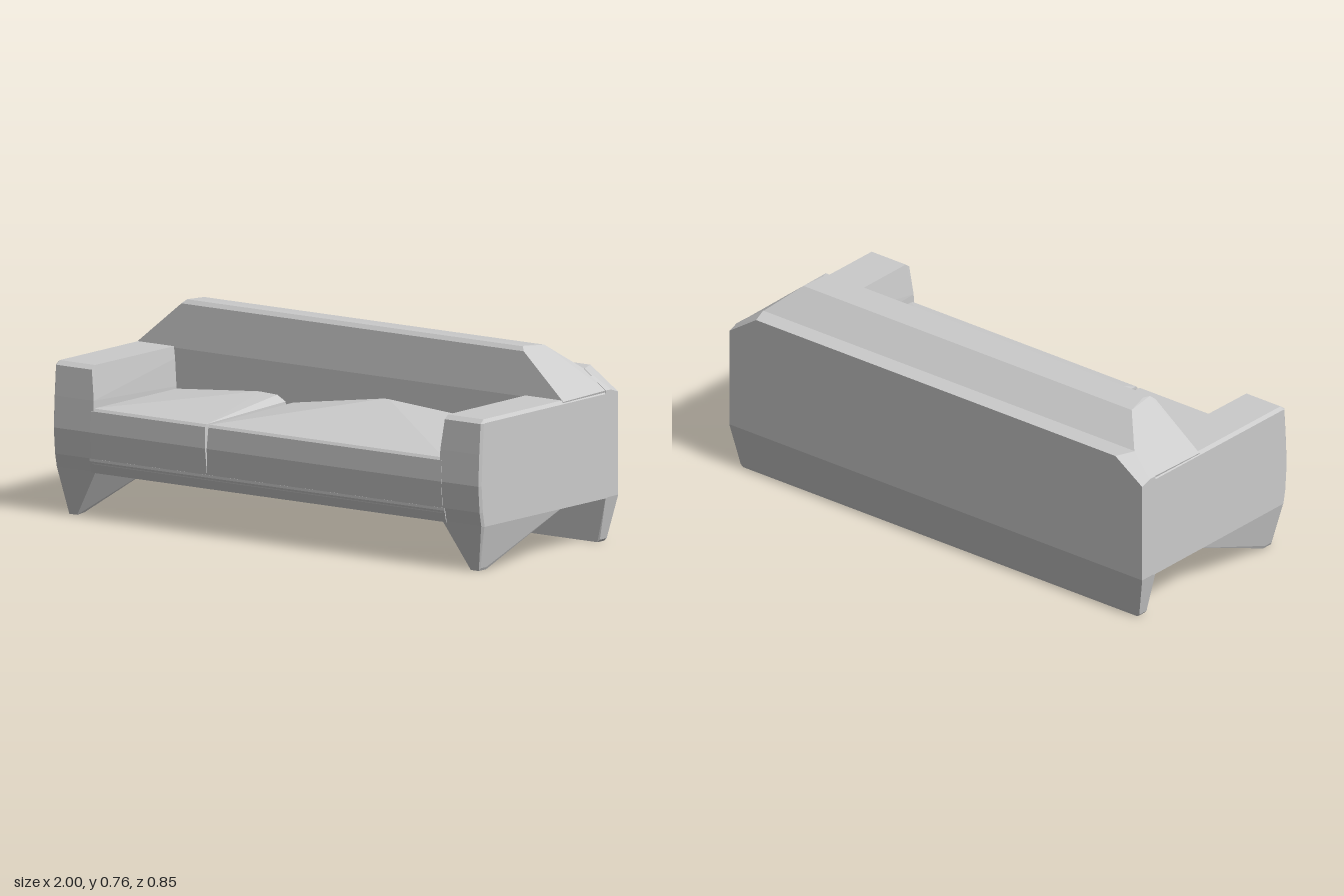
import * as THREE from 'three';
import { ConvexGeometry } from 'three/addons/geometries/ConvexGeometry.js';

const material = new THREE.MeshStandardMaterial({ color: 0xcccccc, flatShading: true });

// faceted solid spanned by a few corner points
function solid(name, points) {
  const geometry = new ConvexGeometry(points.map((p) => new THREE.Vector3(...p)));
  const mesh = new THREE.Mesh(geometry, material);
  mesh.name = name;
  return mesh;
}

// each corner [x, y, z] repeated on both sides of the sofa
const mirrored = (points) => points.flatMap(([x, y, z]) => [[x, y, z], [-x, y, z]]);

export function createModel() {
  const sofa = new THREE.Group();
  sofa.name = 'sofa';

  // low deck under the cushions
  sofa.add(solid('seatBase', mirrored([
    [0.83, 0.175, 0.408], [0.83, 0.22, 0.419], [0.83, 0.23, 0.419],
    [0.83, 0.23, -0.36], [0.83, 0.172, -0.36], [0.83, 0.18, -0.09],
  ])));

  // cushions: slightly bulged front, top rising to a ridge at the back
  function cushion(name, x0, x1, gap0, gap1, ridge) {
    const front = [[0.21, 0.417, 0], [0.33, 0.426, 0.5], [0.41, 0.421, 1], [0.42, 0.413, 1]];
    const points = [];
    for (const [y, z, t] of front) {
      points.push([x0 + gap0 * t, y, z], [x1 - gap1 * t, y, z]);
    }
    for (const [x, y] of ridge) points.push([x, y, -0.1]);
    points.push([x0, 0.21, -0.1], [x1, 0.21, -0.1]);
    return solid(name, points);
  }
  sofa.add(cushion('rightCushion', -0.82, -0.28, 0, 0.008, [
    [-0.82, 0.42], [-0.42, 0.455], [-0.34, 0.452], [-0.3, 0.43],
  ]));
  sofa.add(cushion('leftCushion', -0.28, 0.82, 0.008, 0, [
    [-0.265, 0.43], [0.17, 0.495], [0.77, 0.455], [0.8, 0.43], [0.82, 0.42],
  ]));

  // arms with softened front edges, and wedge legs below them
  const armProfile = [[0.175, 0.405], [0.23, 0.416], [0.33, 0.424], [0.45, 0.418], [0.565, 0.41]];
  for (const [side, s] of [['left', 1], ['right', -1]]) {
    const arm = [
      [0.825, 0.58, 0.39], [0.99, 0.58, 0.39], [0.82, 0.58, -0.36], [0.99, 0.58, -0.36],
      [1, 0.567, 0.39], [1, 0.567, -0.36], [0.81, 0.42, -0.36],
      [0.81, 0.172, -0.36], [1, 0.172, -0.36], [0.81, 0.18, -0.09], [1, 0.18, -0.09],
      [1, 0.175, 0.395],
    ];
    for (const [y, z] of armProfile) {
      arm.push([y > 0.5 ? 0.825 : 0.81, y, z], [0.992, y, z], [1, y, z - 0.01]);
    }
    const leg = [
      [0.81, 0.18, 0.406], [0.992, 0.18, 0.406], [1, 0.18, 0.396],
      [0.81, 0.18, -0.09], [1, 0.18, -0.09],
      [0.92, 0, 0.375], [0.957, 0, 0.375], [0.92, 0.003, 0.33], [0.957, 0, 0.33],
      [0.962, 0.01, 0.37], [0.962, 0.01, 0.335],
    ];
    const flip = (points) => points.map(([x, y, z]) => [s * x, y, z]);
    sofa.add(solid(side + 'Arm', flip(arm)));
    sofa.add(solid(side + 'FrontLeg', flip(leg)));
  }

  // padded backrest with sloping ends and a sloping rear
  sofa.add(solid('backrest', mirrored([
    [0.9, 0.2, -0.09], [0.9, 0.2, -0.36], [0.998, 0.575, -0.09], [0.998, 0.58, -0.35],
    [0.8, 0.742, -0.107], [0.785, 0.757, -0.122], [0.775, 0.757, -0.15],
    [0.795, 0.747, -0.24], [0.9, 0.65, -0.35],
  ])));

  // full-width rear panel reaching the floor, tapered at its foot
  sofa.add(solid('backPanel', mirrored([
    [0.955, 0, -0.356], [0.955, 0, -0.398], [0.965, 0.01, -0.358], [0.965, 0.01, -0.4],
    [1, 0.175, -0.348], [1, 0.175, -0.425],
    [1, 0.58, -0.348], [1, 0.58, -0.38], [1, 0.565, -0.425],
    [0.9, 0.652, -0.348], [0.87, 0.652, -0.425],
  ])));

  return sofa;
}
